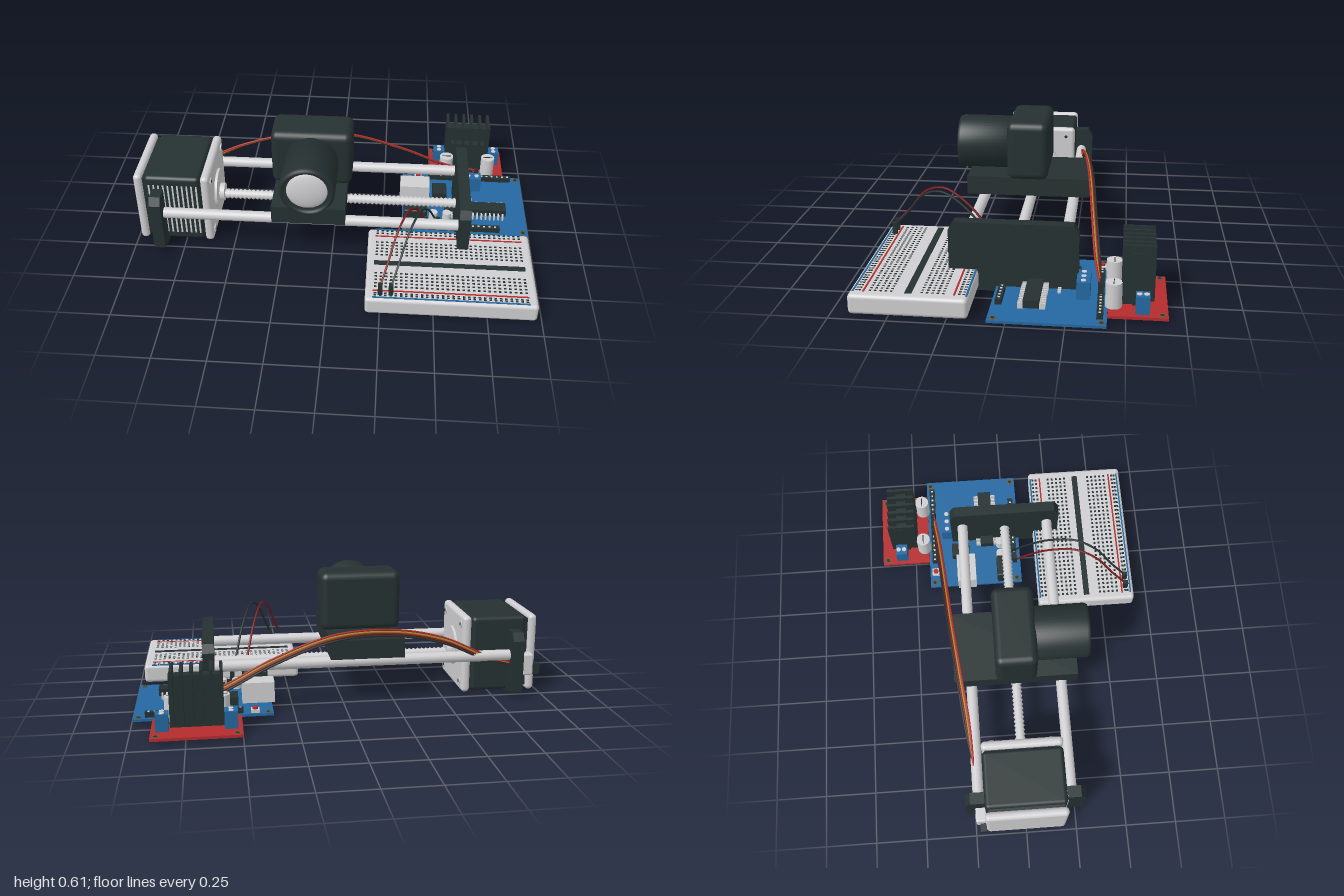
import * as THREE from 'three';
import { RoundedBoxGeometry } from 'three/addons/geometries/RoundedBoxGeometry.js';
import { mergeGeometries } from 'three/addons/utils/BufferGeometryUtils.js';

const mat = (name, color, side = THREE.FrontSide) => {
  const m = new THREE.MeshStandardMaterial({ color, side });
  m.name = name;
  return m;
};

export function createModel() {
  const black = mat('charcoal', 0x263131);
  const white = mat('light grey', 0xcfcfd1);
  const blue = mat('board blue', 0x2468a2);
  const red = mat('board red', 0xb42c2e);
  const darkRed = mat('wire red', 0x7c1b1e);
  const yellow = mat('wire yellow', 0xa88c2c);
  const gold = mat('dark brass', 0x6b5a35);
  const root = new THREE.Group();

  const add = (parent, name, geo, m) => {
    const mesh = new THREE.Mesh(geo, m);
    mesh.name = name;
    parent.add(mesh);
    return mesh;
  };
  const group = (name) => {
    const g = new THREE.Group();
    g.name = name;
    root.add(g);
    return g;
  };
  // Boxes are given by their limits on each axis
  const boxGeo = (x0, x1, y0, y1, z0, z1, r = 0) => {
    const w = x1 - x0, h = y1 - y0, d = z1 - z0;
    const g = r ? new RoundedBoxGeometry(w, h, d, 3, r) : new THREE.BoxGeometry(w, h, d);
    return g.translate((x0 + x1) / 2, (y0 + y1) / 2, (z0 + z1) / 2);
  };
  const box = (p, name, m, lim, r) => add(p, name, boxGeo(...lim, r), m);
  const cylX = (p, name, m, r, x0, x1, y, z, seg = 24) => add(p, name,
    new THREE.CylinderGeometry(r, r, x1 - x0, seg).rotateZ(Math.PI / 2).translate((x0 + x1) / 2, y, z), m);
  const cylY = (p, name, m, r, y0, y1, x, z, seg = 20) => add(p, name,
    new THREE.CylinderGeometry(r, r, y1 - y0, seg).translate(x, (y0 + y1) / 2, z), m);
  const wire = (p, name, m, pts, r = 0.005) => add(p, name, new THREE.TubeGeometry(
    new THREE.CatmullRomCurve3(pts.map((q) => new THREE.Vector3(...q))), 48, r, 6), m);

  // Stepper motor
  const motor = group('motor');
  box(motor, 'motorBody', black, [-0.93, -0.655, 0.015, 0.395, -0.195, 0.195], 0.02);
  box(motor, 'motorCore', black, [-0.95, -0.64, 0.03, 0.38, -0.18, 0.18]);
  box(motor, 'motorBackPlate', white, [-0.985, -0.942, 0.008, 0.4, -0.197, 0.197], 0.02);
  box(motor, 'motorFrontPlate', white, [-0.652, -0.608, 0.008, 0.4, -0.197, 0.197], 0.02);
  for (let i = 0; i < 11; i++) {
    const x = -0.912 + i * 0.0235;
    box(motor, 'lamination', white, [x, x + 0.008, 0.06, 0.35, 0.19, 0.199]);
  }
  cylX(motor, 'motorHub', white, 0.1, -0.61, -0.595, 0.205, 0, 40);
  cylX(motor, 'motorCollar', white, 0.045, -0.6, -0.57, 0.18, 0);
  for (const sy of [-1, 1]) for (const sz of [-1, 1]) {
    cylX(motor, 'motorBolt', white, 0.02, -0.609, -0.604, 0.205 + sy * 0.148, sz * 0.148, 16);
    cylX(motor, 'boltHole', black, 0.009, -0.609, -0.603, 0.205 + sy * 0.148, sz * 0.148, 12);
  }
  box(motor, 'motorSocket', white, [-0.96, -0.88, 0.1, 0.21, -0.245, -0.19], 0.01);
  box(motor, 'motorPlug', black, [-1, -0.955, 0.1, 0.155, -0.225, -0.195]);

  // End plates joined by the guide rods
  const frame = group('frame');
  const outline = new THREE.Shape();
  [[-0.19, 0.006], [0.19, 0.006], [0.29, 0.03], [0.29, 0.29], [0.265, 0.33], [-0.265, 0.33], [-0.29, 0.29], [-0.29, 0.03]]
    .forEach(([z, y], i) => (i ? outline.lineTo(z, y) : outline.moveTo(z, y)));
  for (const [name, x] of [['leftEndPlate', -0.893], ['rightEndPlate', 0.617]]) {
    const geo = new THREE.ExtrudeGeometry(outline, { depth: 0.055, bevelEnabled: false });
    add(frame, name, geo.rotateY(Math.PI / 2).translate(x, 0, 0), black);
  }
  for (const z of [-0.227, 0.227]) cylX(frame, 'guideRod', white, 0.027, -0.85, 0.625, 0.207, z);

  // Threaded lead screw
  const profile = [];
  for (let i = 0; i <= 110; i++) profile.push(new THREE.Vector2(i % 2 ? 0.027 : 0.02, i * 0.011));
  add(frame, 'leadScrew', new THREE.LatheGeometry(profile, 18).rotateZ(-Math.PI / 2).translate(-0.59, 0.167, 0), white);

  // Sliding carriage with the camera
  const carriage = group('carriage');
  box(carriage, 'carriagePlate', black, [-0.29, 0.067, 0.24, 0.333, -0.308, 0.305]);
  box(carriage, 'cameraBody', black, [-0.308, 0.088, 0.325, 0.617, -0.102, 0.102], 0.035);
  const lens = [[0, 0.08], [0.133, 0.08], [0.133, 0.345], [0.126, 0.36], [0.112, 0.36], [0.108, 0.345], [0, 0.345]];
  const turnZ = (pts, seg) => new THREE.LatheGeometry(pts.map((p) => new THREE.Vector2(...p)), seg)
    .rotateX(Math.PI / 2).translate(-0.11, 0.467, 0);
  add(carriage, 'lensBarrel', turnZ(lens, 48), black);
  const dome = [];
  for (let i = 0; i <= 8; i++) dome.push([0.109 * Math.cos(i * Math.PI / 16), 0.33 + 0.034 * Math.sin(i * Math.PI / 16)]);
  add(carriage, 'lensGlass', turnZ(dome, 40), white);

  // Breadboard with its rows of holes
  const bread = group('breadboard');
  box(bread, 'breadboardBase', white, [0.18, 0.977, 0.015, 0.107, 0.157, 0.67], 0.018);
  box(bread, 'centreChannel', black, [0.215, 0.937, 0.104, 0.109, 0.4, 0.43]);
  const holes = [];
  for (const z of [0.178, 0.197, 0.265, 0.288, 0.311, 0.334, 0.357, 0.488, 0.511, 0.534, 0.557, 0.58, 0.625, 0.638]) {
    for (let i = 0; i < 30; i++) {
      holes.push(new THREE.PlaneGeometry(0.012, 0.011).rotateX(-Math.PI / 2).translate(0.227 + i * 0.0241, 0.1085, z));
    }
  }
  add(bread, 'holes', mergeGeometries(holes), black);
  for (const [z, m] of [[0.607, red], [0.652, blue], [0.218, red], [0.166, blue]]) {
    box(bread, 'railLine', m, [0.215, 0.937, 0.104, 0.109, z - 0.004, z + 0.004]);
  }

  // Controller board
  const ctrl = group('controllerBoard');
  box(ctrl, 'controllerPlate', blue, [0.35, 0.995, 0.018, 0.03, -0.422, 0.077]);
  box(ctrl, 'mainChip', black, [0.57, 0.89, 0.04, 0.075, -0.135, -0.065]);
  for (let i = 0; i < 14; i++) for (const z of [-0.147, -0.053]) {
    const x = 0.587 + i * 0.022;
    box(ctrl, 'chipLeg', white, [x - 0.004, x + 0.004, 0.028, 0.058, z - 0.012, z + 0.012]);
  }
  box(ctrl, 'usbSocket', white, [0.335, 0.49, 0.03, 0.13, -0.27, -0.17]);
  box(ctrl, 'powerJack', black, [0.355, 0.475, 0.03, 0.122, -0.055, 0.02], 0.01);
  box(ctrl, 'regulator', black, [0.51, 0.585, 0.03, 0.07, -0.295, -0.2]);
  for (const [x0, x1, z] of [[0.49, 0.94, -0.392], [0.48, 0.67, 0.045], [0.7, 0.85, 0.045]]) {
    box(ctrl, 'pinHeader', black, [x0, x1, 0.03, 0.055, z - 0.014, z + 0.014]);
    for (let x = x0 + 0.014; x < x1 - 0.005; x += 0.028) {
      box(ctrl, 'headerPin', white, [x - 0.005, x + 0.005, 0.05, 0.057, z - 0.005, z + 0.005]);
    }
  }
  box(ctrl, 'resetBase', white, [0.415, 0.455, 0.03, 0.045, -0.41, -0.37]);
  cylY(ctrl, 'resetButton', red, 0.013, 0.04, 0.055, 0.435, -0.39);
  for (const x of [0.375, 0.97]) for (const z of [-0.4, 0.052]) {
    cylY(ctrl, 'mountRing', gold, 0.015, 0.0175, 0.032, x, z);
    cylY(ctrl, 'mountHole', black, 0.009, 0.017, 0.033, x, z);
  }
  for (const x of [0.51, 0.58]) cylY(ctrl, 'smallCapacitor', white, 0.022, 0.03, 0.08, x, -0.03);
  for (let i = 0; i < 4; i++) {
    box(ctrl, 'resistor', white, [0.65 + i * 0.02, 0.66 + i * 0.02, 0.03, 0.038, -0.215, -0.2]);
  }

  // Screw terminal: blue block with slotted pads
  const terminal = (p, x0, x1, z0, z1, n, alongX) => {
    box(p, 'screwTerminal', blue, [x0, x1, 0.03, 0.112, z0, z1]);
    for (let i = 0; i < n; i++) {
      const t = (i + 0.5) / n;
      const x = alongX ? x0 + (x1 - x0) * t : (x0 + x1) / 2;
      const z = alongX ? (z0 + z1) / 2 : z0 + (z1 - z0) * t;
      cylY(p, 'terminalScrew', white, 0.012, 0.108, 0.115, x, z, 14);
    }
  };
  terminal(ctrl, 0.635, 0.77, -0.345, -0.285, 3, true);

  // Motor driver board with heat sink
  const driver = group('driverBoard');
  box(driver, 'driverPlate', red, [0.5, 0.905, 0.018, 0.031, -0.678, -0.4225]);
  box(driver, 'heatSinkBase', black, [0.58, 0.82, 0.04, 0.28, -0.575, -0.525]);
  for (let i = 0; i < 6; i++) {
    const x = 0.588 + i * 0.0435;
    box(driver, 'heatSinkFin', black, [x - 0.007, x + 0.007, 0.06, 0.313, -0.62, -0.48]);
  }
  box(driver, 'driverChip', black, [0.61, 0.79, 0.03, 0.2, -0.525, -0.485]);
  terminal(driver, 0.52, 0.58, -0.6, -0.54, 2, false);
  terminal(driver, 0.825, 0.883, -0.6, -0.54, 2, false);
  for (const x of [0.587, 0.813]) {
    cylY(driver, 'capacitor', white, 0.036, 0.031, 0.145, x, -0.447, 28);
    box(driver, 'capacitorMark', black, [x - 0.025, x + 0.025, 0.142, 0.147, -0.449, -0.445]);
  }
  for (const x of [0.525, 0.88]) {
    cylY(driver, 'mountRing', gold, 0.015, 0.0175, 0.033, x, -0.652);
    cylY(driver, 'mountHole', black, 0.009, 0.017, 0.034, x, -0.652);
  }

  // Motor cable and jumper wires
  const wires = group('wires');
  [black, darkRed, yellow, red].forEach((m, i) => {
    const d = (i - 1.5) * 0.008;
    wire(wires, 'motorWire', m, [[-0.9, 0.15, -0.235], [-0.71, 0.205 + d, -0.24], [-0.5, 0.3 + d, -0.258 + d], [-0.25, 0.356 + d, -0.285 + d],
      [0.05, 0.35 + d, -0.317 + d], [0.35, 0.25 + d, -0.345 + d], [0.58, 0.14 + d, -0.37 + d], [0.66 + i * 0.03, 0.1, -0.385]]);
    box(wires, 'motorWirePlug', black, [0.65 + i * 0.03, 0.67 + i * 0.03, 0.05, 0.107, -0.4, -0.378]);
  });
  for (const [m, x0, x1] of [[darkRed, 0.47, 0.25], [black, 0.53, 0.3]]) {
    const px = (t) => x0 + (x1 - x0) * t;
    wire(wires, 'jumperWire', m, [[x0, 0.06, 0.05], [px(0.12), 0.17, 0.12], [px(0.3), 0.3, 0.23], [px(0.5), 0.372, 0.36],
      [px(0.68), 0.34, 0.46], [px(0.86), 0.23, 0.55], [x1, 0.15, 0.625]], 0.0055);
    box(wires, 'jumperPlug', black, [x1 - 0.011, x1 + 0.011, 0.1, 0.165, 0.614, 0.636]);
    box(wires, 'jumperPlug', black, [x0 - 0.011, x0 + 0.011, 0.045, 0.1, 0.035, 0.057]);
  }
  return root;
}
